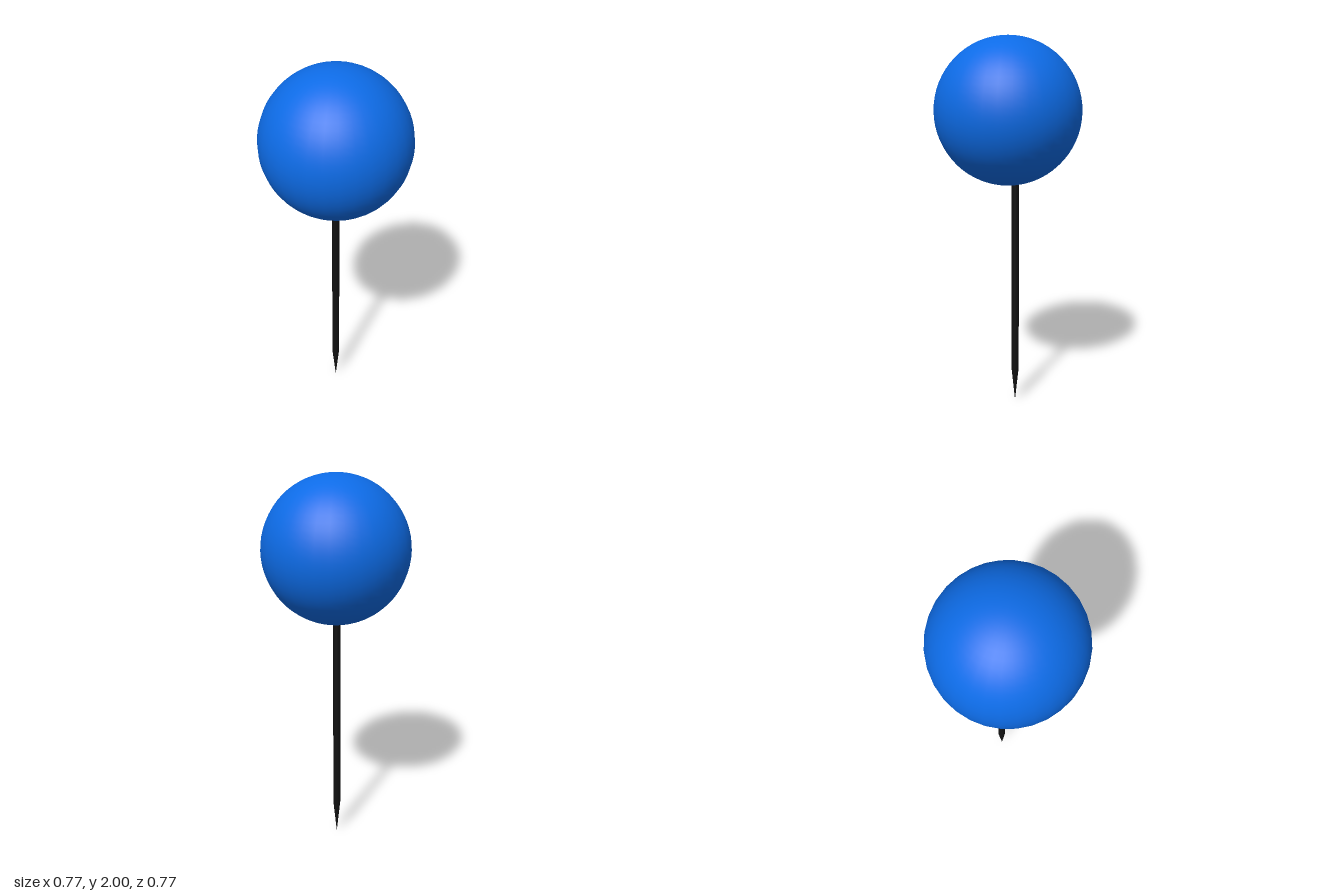
import * as THREE from 'three';

const HEAD_RADIUS = 0.385;
const PIN_RADIUS = 0.02;
const PIN_Z = -0.04;

export function createModel() {
  const model = new THREE.Group();
  model.name = 'mapPin';

  const blue = new THREE.MeshStandardMaterial({ color: 0x0d6be6 });
  const black = new THREE.MeshStandardMaterial({ color: 0x111111 });

  const add = (name, geometry, material, y, z = 0) => {
    const mesh = new THREE.Mesh(geometry, material);
    mesh.name = name;
    mesh.position.set(0, y, z);
    model.add(mesh);
  };

  // Round head
  add('head', new THREE.SphereGeometry(HEAD_RADIUS, 32, 32), blue, 2 - HEAD_RADIUS);

  // Needle: sharp tip and straight shaft ending inside the head, set slightly back
  const tipTop = 0.19;
  const shaftTop = 1.26;
  const profile = [[0, 0], [PIN_RADIUS, tipTop], [PIN_RADIUS, shaftTop], [0, shaftTop]]
    .map(([r, y]) => new THREE.Vector2(r, y));
  add('needle', new THREE.LatheGeometry(profile, 16), black, 0, PIN_Z);

  return model;
}
